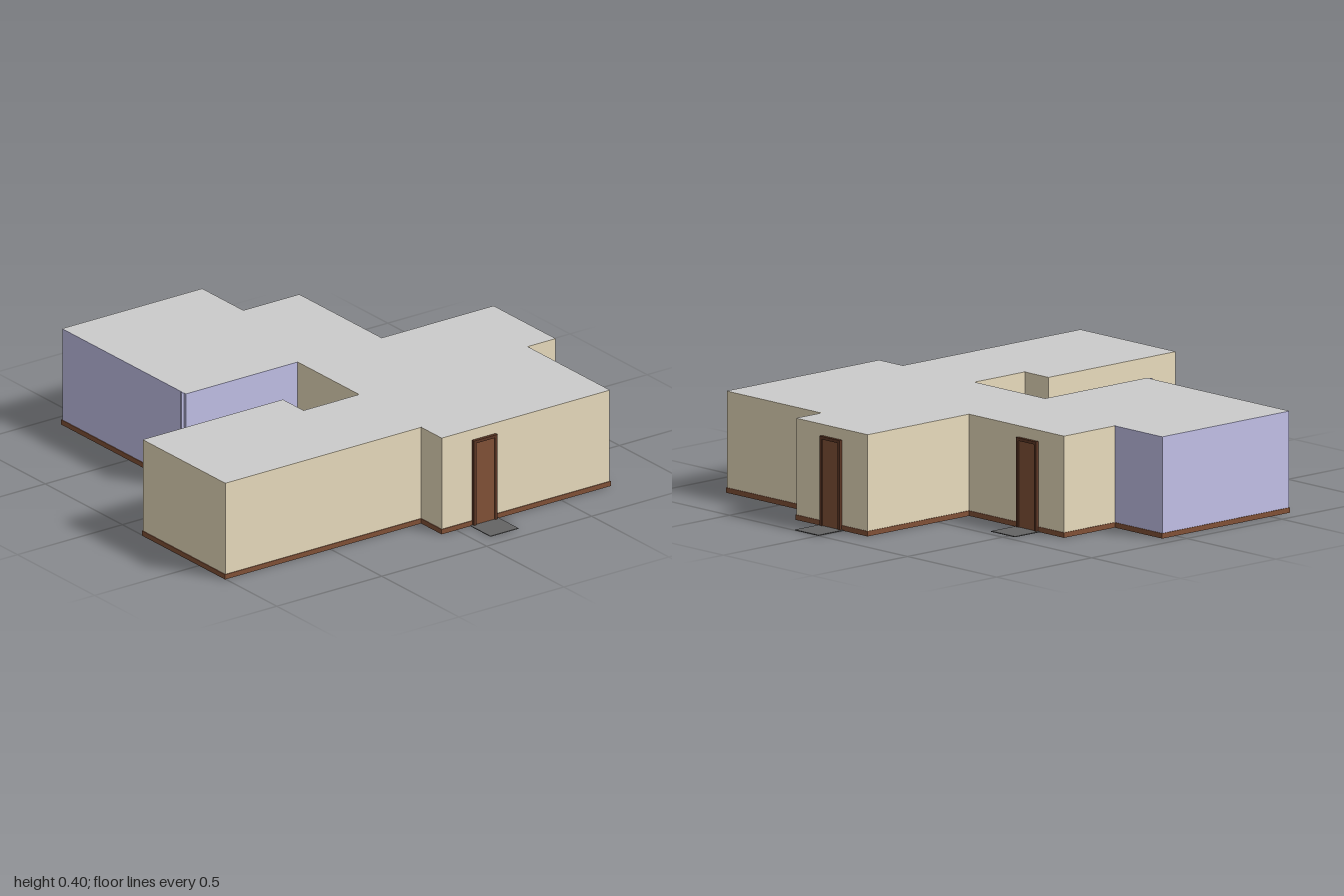
import * as THREE from 'three';
import { mergeGeometries } from 'three/addons/utils/BufferGeometryUtils.js';

const U = 2 / 15;   // plan module
const H = 0.4;      // wall height
const T = 0.01;     // wall thickness

const mat = (color) => new THREE.MeshStandardMaterial({ color, side: THREE.DoubleSide });

// Outline in plan modules [x, z], clockwise seen from above
const outline = [
  [-1, -6.5], [2, -6.5], [2, -5.5], [6, -5.5], [6, 0.5], [5, 0.5],
  [5, 7.5], [1, 7.5], [1, 2.5], [2, 2.5], [2, 0.5], [-1, 0.5],
  [-1, 4.5], [-7, 4.5], [-7, -0.5], [-5, -0.5], [-5, -2.5], [-1, -2.5],
];
const hallOutline = [
  [-1, -6.5], [2, -6.5], [2, -5.5], [6, -5.5], [6, 0.5], [-1, 0.5],
  [-1, -0.5], [-5, -0.5], [-5, -2.5], [-1, -2.5],
];
const sideRoomOutline = [[-7, -0.5], [-1, -0.5], [-1, 4.5], [-7, 4.5]];
const BLUE_EDGES = [11, 12, 13, 14];

export function createModel() {
  const model = new THREE.Group();
  const plaster = mat(0xecdfc0), blue = mat(0xc4c2ea), wood = mat(0x835238);
  const darkWood = mat(0x5e3826), stone = mat(0x646464), grey = mat(0xcccccc);
  const black = mat(0x050505), carpet = mat(0x8c7e73);

  const add = (name, geometry, material, parent = model) => {
    const mesh = new THREE.Mesh(geometry, material);
    mesh.name = name;
    parent.add(mesh);
    return mesh;
  };
  const slab = (name, points, y, material, up) => {
    const shape = new THREE.Shape(points.map(([x, z]) => new THREE.Vector2(x * U, up ? -z * U : z * U)));
    const g = new THREE.ShapeGeometry(shape);
    g.rotateX(up ? -Math.PI / 2 : Math.PI / 2);
    add(name, g, material).position.y = y;
  };

  // Roof and floors
  slab('roof', outline, H, grey, true);
  slab('hallFloor', hallOutline, 0.002, stone, false);
  slab('sideRoomFloor', sideRoomOutline, 0.002, carpet, false);

  // Chequered floor of the front wing
  const tiles = [[], []];
  for (let i = 0; i < 8; i++) {
    for (let j = 0; j < 14; j++) {
      if (i < 2 && j < 4) continue; // recess beside the passage
      const g = new THREE.PlaneGeometry(U / 2, U / 2).rotateX(Math.PI / 2);
      g.translate((1.25 + i / 2) * U, 0.002, (0.75 + j / 2) * U);
      tiles[(i + j) % 2].push(g);
    }
  }
  add('lightTiles', mergeGeometries(tiles[0]), grey);
  add('darkTiles', mergeGeometries(tiles[1]), black);

  // Walls and skirting along every edge of the outline
  outline.forEach(([x0, z0], i) => {
    const [x1, z1] = outline[(i + 1) % outline.length];
    const length = Math.hypot(x1 - x0, z1 - z0) * U;
    const side = new THREE.Group();
    side.name = 'wallSection';
    side.position.set((x0 + x1) / 2 * U, 0, (z0 + z1) / 2 * U);
    side.rotation.y = -Math.atan2(z1 - z0, x1 - x0); // local -z points outward
    model.add(side);
    const wall = add('wall', new THREE.BoxGeometry(length, H - 0.002, T),
      BLUE_EDGES.includes(i) ? blue : plaster, side);
    wall.position.set(0, H / 2, T / 2);
    add('skirting', new THREE.BoxGeometry(length + 0.006, 0.02, 0.006), wood, side)
      .position.set(0, 0.01, 0);
  });

  // Slim post at the front corner of the blue room
  add('cornerPost', new THREE.BoxGeometry(0.008, H, 0.012), blue)
    .position.set(-0.15, H / 2, 4.5 * U + 0.005);

  // Outside doors, each with a frame, leaf and doorstep; local +z points outward
  const door = (name, x, z, turn) => {
    const g = new THREE.Group();
    g.name = name;
    g.position.set(x * U, 0, z * U);
    g.rotation.y = turn;
    model.add(g);
    for (const s of [-1, 1]) {
      add('doorJamb', new THREE.BoxGeometry(0.012, 0.355, 0.016), darkWood, g)
        .position.set(s * 0.05, 0.1775, 0.005);
    }
    add('doorLintel', new THREE.BoxGeometry(0.088, 0.012, 0.016), darkWood, g)
      .position.set(0, 0.349, 0.005);
    add('doorLeaf', new THREE.BoxGeometry(0.088, 0.343, 0.01), wood, g)
      .position.set(0, 0.1715, 0.003);
    add('doorstep', new THREE.BoxGeometry(U, 0.003, U), stone, g)
      .position.set(0, 0.0015, U / 2);
  };
  door('backDoor', 0.5, -6.5, Math.PI);
  door('rearSideDoor', -3.5, -2.5, Math.PI);
  door('leftDoor', 6, -1, Math.PI / 2);

  return model;
}
